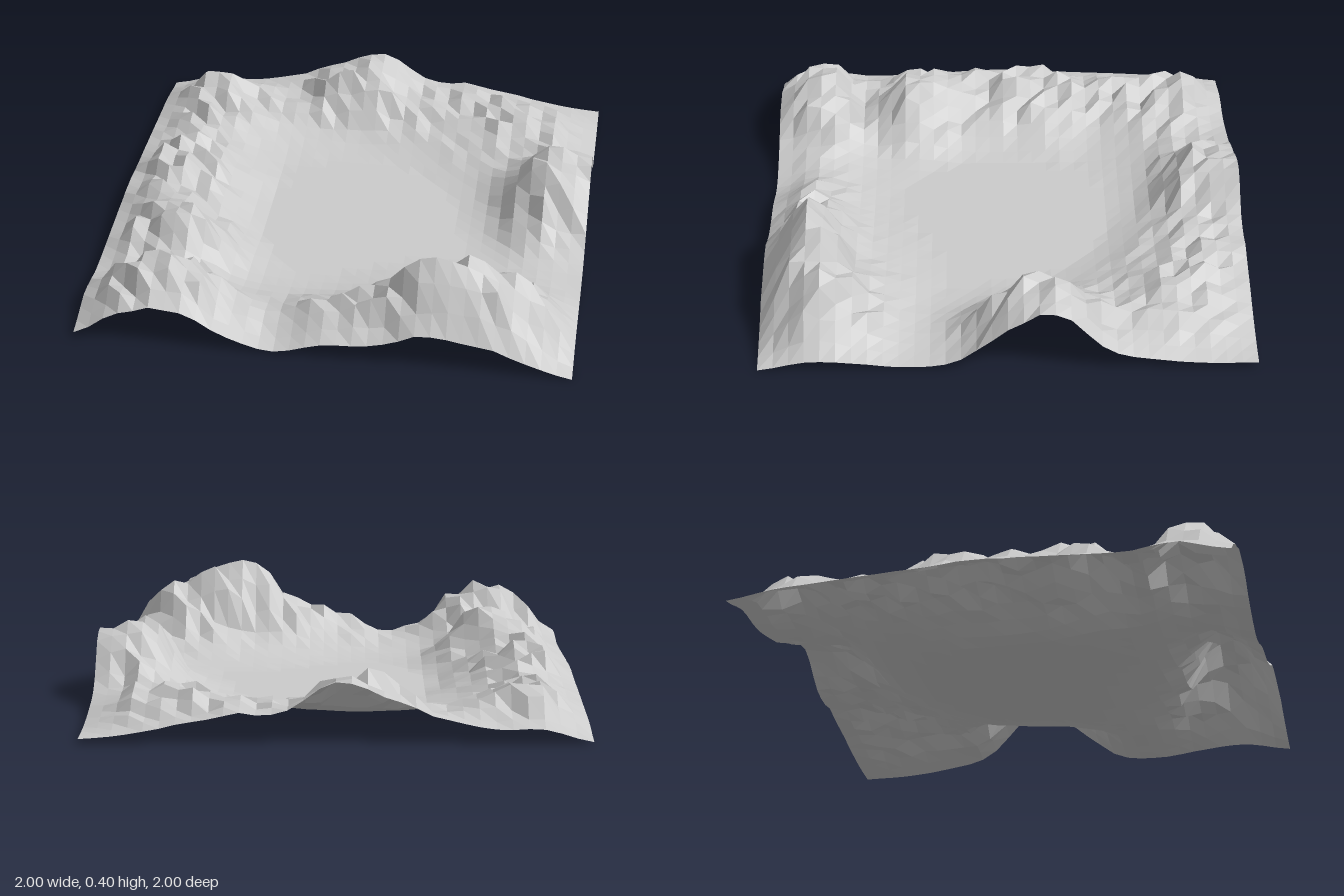
import * as THREE from 'three';

// Coarse survey in hundredths: rows run back to front, columns run from -x to +x
const STEPS = 10;
const SURVEY = [
  [1, 6, 6, 11, 18, 25, 13, 12, 8, 4, 2],
  [4, 17, 13, 10, 20, 21, 13, 14, 14, 10, 2],
  [5, 14, 10, 5, 4, 4, 6, 9, 13, 12, 4],
  [6, 14, 7, 1, 0, 0, 0, 3, 8, 15, 9],
  [7, 19, 11, 1, 0, 0, 0, 0, 7, 32, 28],
  [8, 19, 11, 0, 0, 0, 0, 0, 4, 24, 20],
  [7, 17, 12, 1, 0, 0, 0, 0, 1, 6, 4],
  [6, 19, 24, 4, 0, 0, 1, 2, 3, 3, 1],
  [5, 12, 13, 4, 2, 3, 6, 10, 16, 14, 3],
  [7, 24, 30, 12, 7, 15, 22, 36, 38, 27, 4],
  [2, 14, 17, 7, 1, 6, 8, 14, 13, 6, 0],
];

const clampIndex = (i) => Math.min(STEPS, Math.max(0, i));

// Catmull-Rom interpolation through evenly spaced samples
function spline(sample, t) {
  const i = Math.min(STEPS - 1, Math.floor(t));
  const f = t - i;
  const [a, b, c, d] = [-1, 0, 1, 2].map((k) => sample(clampIndex(i + k)));
  return b + 0.5 * f * (c - a + f * (2 * a - 5 * b + 4 * c - d + f * (3 * (b - c) + d - a)));
}

// Repeatable value from -1 to 1 for each grid point
function hash(ix, iz) {
  const s = Math.sin(ix * 127.1 + iz * 311.7) * 43758.5453;
  return 2 * (s - Math.floor(s)) - 1;
}

function heightAt(x, z) {
  const u = (x + 1) * STEPS / 2;
  const v = (z + 1) * STEPS / 2;
  const base = Math.max(0, spline((r) => spline((c) => SURVEY[r][c], u), v)) / 100;
  // Crags grow with height and fade towards the outer border
  const border = Math.min(1, 0.25 + 5 * (1 - Math.max(Math.abs(x), Math.abs(z))));
  const crag = Math.min(0.042, base * base * 2.2) * border;
  const height = base + crag * hash(Math.round(x * 16), Math.round(z * 16));
  return height < 0.004 ? 0 : height;
}

export function createModel() {
  const group = new THREE.Group();
  group.name = 'mountainBasin';

  // Faceted ground sheet: a flat valley floor ringed by craggy ridges
  const geometry = new THREE.PlaneGeometry(2, 2, 32, 32);
  geometry.rotateX(-Math.PI / 2).rotateY(Math.PI / 2);
  const p = geometry.attributes.position;
  for (let i = 0; i < p.count; i++) p.setY(i, heightAt(p.getX(i), p.getZ(i)));
  geometry.computeVertexNormals();

  const terrain = new THREE.Mesh(
    geometry,
    new THREE.MeshStandardMaterial({ color: 0xcccccc, flatShading: true, side: THREE.DoubleSide })
  );
  terrain.name = 'terrain';
  group.add(terrain);
  return group;
}
